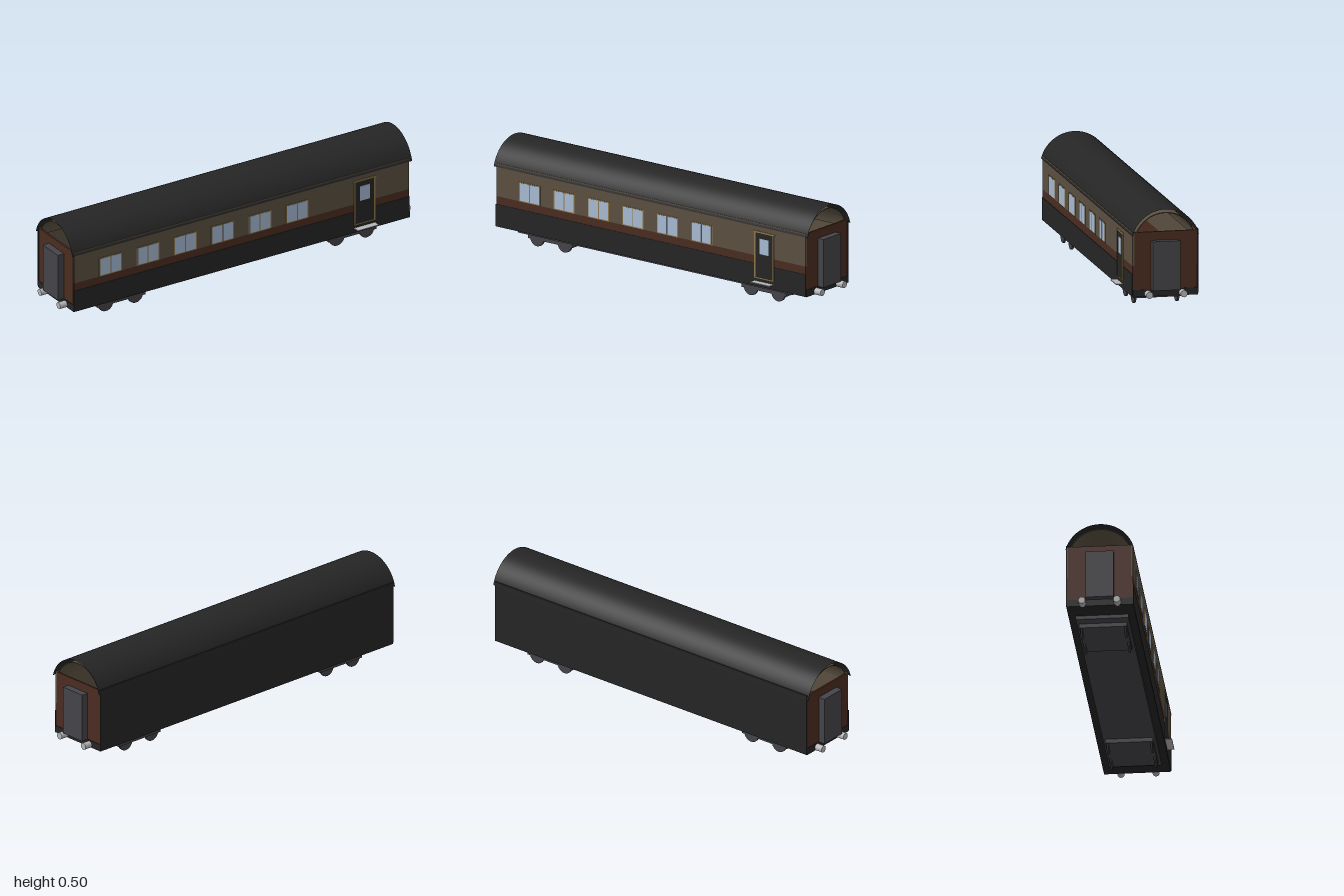
import * as THREE from 'three';

const mat = (name, color, side = THREE.FrontSide) => {
  const m = new THREE.MeshStandardMaterial({ color, side });
  m.name = name;
  return m;
};

export function createModel() {
  const black = mat('black paint', 0x252525, THREE.DoubleSide);
  const tan = mat('tan panel', 0x5a5040);
  const brown = mat('red brown', 0x4a2c20);
  const gold = mat('gold trim', 0x8f7748);
  const grey = mat('dark grey', 0x444449);
  const silver = mat('light metal', 0xb6b6ba);
  const glass = mat('window glass', 0xa6bad2);

  const root = new THREE.Group();
  root.name = 'railwayCarriage';
  const CZ = -0.016; // middle of the carriage across its width

  const add = (name, geo, m, x = 0, y = 0, z = 0, parent = root) => {
    const mesh = new THREE.Mesh(geo, m);
    mesh.name = name;
    mesh.position.set(x, y, z);
    parent.add(mesh);
    return mesh;
  };
  // box given by its limits on each axis
  const box = (name, m, x0, x1, y0, y1, z0, z1, parent = root) =>
    add(name, new THREE.BoxGeometry(x1 - x0, y1 - y0, z1 - z0), m,
      (x0 + x1) / 2, (y0 + y1) / 2, (z0 + z1) / 2, parent);

  // floor and side walls
  box('floorBase', black, -0.96, 0.96, 0.072, 0.107, -0.178, 0.145);
  box('frontWallLower', brown, -0.955, 0.955, 0.107, 0.225, 0.135, 0.145);
  box('frontWallUpper', tan, -0.955, 0.955, 0.225, 0.39, 0.135, 0.145);
  box('frontLowerPanel', black, -0.96, 0.957, 0.074, 0.185, 0.144, 0.147);
  box('backWall', black, -0.96, 0.96, 0.08, 0.395, -0.18, -0.175);
  box('backLiningLower', brown, -0.955, 0.955, 0.107, 0.225, -0.175, -0.171);
  box('backLiningUpper', tan, -0.955, 0.955, 0.225, 0.39, -0.175, -0.171);

  // thin curved roof skin
  const a = Math.asin(0.043 / 0.17);
  const roof = new THREE.CylinderGeometry(0.17, 0.17, 1.94, 28, 1, true, a, Math.PI - 2 * a);
  roof.rotateZ(Math.PI / 2);
  add('roof', roof, black, 0, 0.33, CZ);

  // curved ceiling lining below it
  const arch = new THREE.Shape();
  arch.absarc(0, 0, 0.156, 0.2, Math.PI - 0.2, false);
  arch.absarc(0, 0, 0.152, Math.PI - 0.2, 0.2, true);
  const ceiling = new THREE.ExtrudeGeometry(arch, { depth: 1.91, bevelEnabled: false, curveSegments: 14 });
  ceiling.translate(0, 0, -0.955).rotateY(-Math.PI / 2);
  add('ceiling', ceiling, tan, 0, 0.326, CZ);

  // windows with ceiling lamps in line
  for (let i = 0; i < 6; i++) {
    const x = -0.75 + i * 0.213;
    const w = new THREE.Group();
    w.name = 'window';
    root.add(w);
    box('windowFrame', gold, x - 0.065, x + 0.065, 0.225, 0.323, 0.144, 0.147, w);
    for (const s of [-1, 1])
      box('windowPane', glass, x + s * 0.031 - 0.028, x + s * 0.031 + 0.028, 0.23, 0.319, 0.145, 0.148, w);
    box('lampPlate', gold, x - 0.017, x + 0.017, 0.423, 0.427, CZ - 0.017, CZ + 0.017);
    const lamp = new THREE.SphereGeometry(0.014, 16, 10);
    lamp.scale(1, 0.6, 1);
    add('lamp', lamp, silver, x, 0.416, CZ);
  }

  // passenger door with trim, window and step
  const door = new THREE.Group();
  door.name = 'door';
  root.add(door);
  box('doorLeaf', black, 0.647, 0.753, 0.118, 0.342, 0.145, 0.1475, door);
  for (const x of [0.643, 0.757])
    box('doorTrim', gold, x - 0.004, x + 0.004, 0.118, 0.342, 0.145, 0.149, door);
  box('doorTopTrim', gold, 0.635, 0.765, 0.342, 0.35, 0.145, 0.149, door);
  box('doorSill', gold, 0.639, 0.761, 0.113, 0.118, 0.145, 0.149, door);
  box('doorWindow', glass, 0.672, 0.728, 0.237, 0.315, 0.146, 0.149, door);
  box('doorStep', silver, 0.64, 0.76, 0.095, 0.099, 0.14, 0.181, door);

  // carriage ends: wall, gangway, buffers
  for (const s of [-1, 1]) {
    const end = new THREE.Group();
    end.name = s > 0 ? 'leftEnd' : 'rightEnd';
    root.add(end);
    const span = (p, q) => (s > 0 ? [p, q] : [-q, -p]);
    box('endWall', brown, ...span(0.948, 0.957), 0.107, 0.39, -0.171, 0.135, end);
    box('gangway', grey, ...span(0.957, 0.992), 0.105, 0.347, -0.083, 0.053, end);
    for (const z of [0.07, -0.1]) {
      const buffer = new THREE.CylinderGeometry(0.017, 0.017, 0.045, 20);
      buffer.rotateZ(Math.PI / 2);
      add('buffer', buffer, silver, s * 0.9775, 0.086, z, end);
    }
  }

  // underframe, bogies and wheels
  box('underframe', grey, -0.85, 0.847, 0.054, 0.072, -0.143, 0.112);
  for (const s of [-1, 1]) {
    const bogie = new THREE.Group();
    bogie.name = 'bogie';
    root.add(bogie);
    const cx = s * 0.66;
    box('bogieFrame', grey, cx - 0.137, cx + 0.137, 0.033, 0.055, -0.132, 0.1, bogie);
    for (const dx of [-0.085, 0.085])
      for (const z of [0.091, -0.122]) {
        const wheel = new THREE.CylinderGeometry(0.042, 0.042, 0.01, 24);
        wheel.rotateX(Math.PI / 2);
        add('wheel', wheel, grey, cx + dx, 0.042, z, bogie);
      }
  }
  return root;
}
